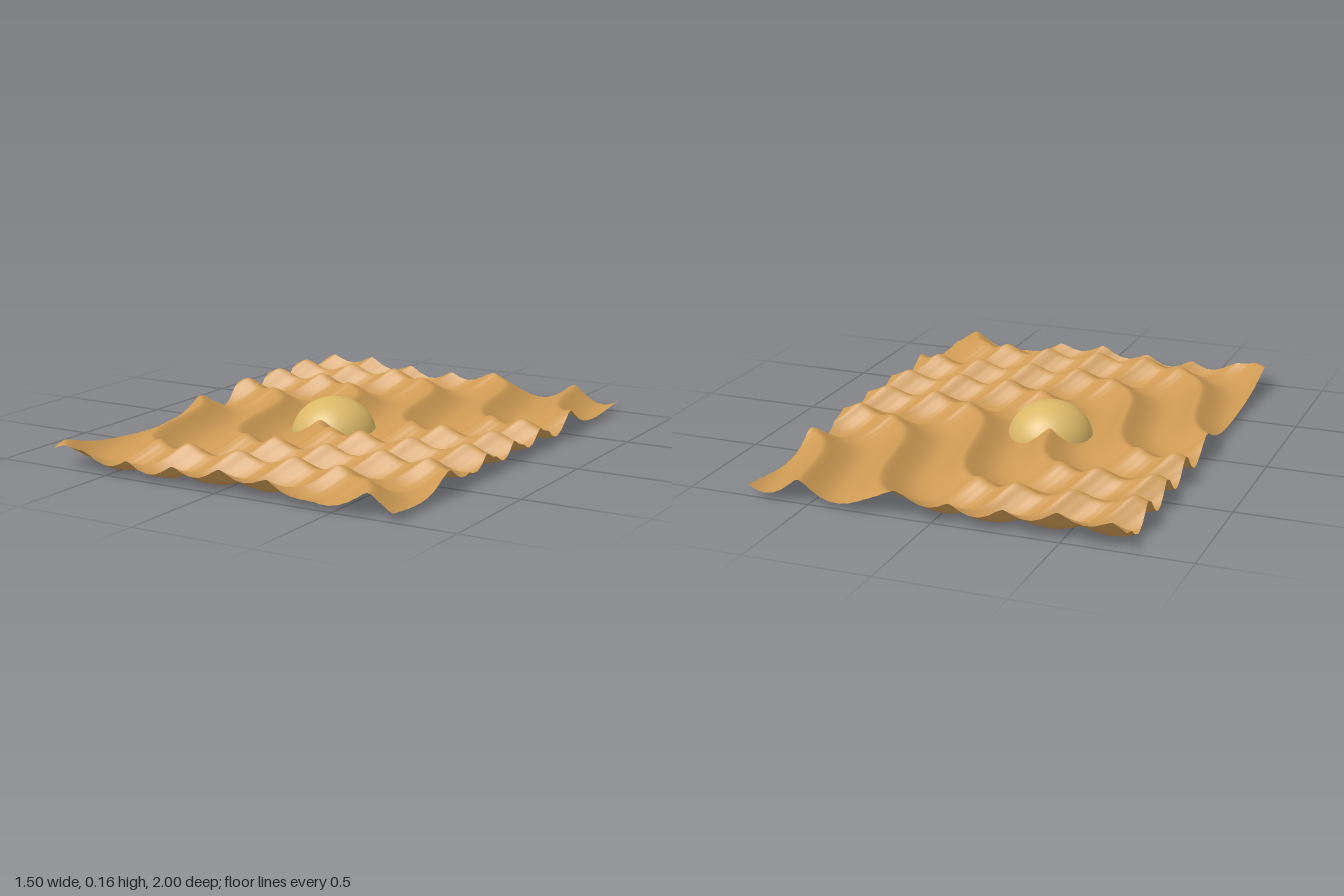
import * as THREE from 'three';

const WIDTH = 1.5, DEPTH = 2;

// Sharp-crested periodic ridge, about 1 at its crests and 0.1 in its troughs
function ridged(distance, spacing) {
  const s = Math.sin((Math.PI * distance) / spacing);
  return 1.14 - Math.sqrt(s * s + 0.02);
}

// Height of the sand: bent dunes, cross ridges where the dunes run straight, fine ripples
function sandHeight(x, z) {
  const u = x + 0.9 * z;
  const v = x + 0.92 * z + 0.24;
  const bend = -0.367 + 0.4 * v + 0.17 * Math.sin(3.06 * v);
  const straight = THREE.MathUtils.smoothstep(-Math.cos(3.06 * v), -0.45, 0.7);
  const ripple = 0.0006 * Math.sin((2 * Math.PI / 0.04) * u);
  const y = 0.012 + 0.082 * ridged(z - bend, 0.253)
    + straight * (0.042 * ridged(u - 0.71, 0.21) - 0.014) + ripple;
  return THREE.MathUtils.clamp(y, 0.014, 0.125);
}

export function createModel() {
  const model = new THREE.Group();
  model.name = 'duneField';

  const sand = new THREE.MeshStandardMaterial({ color: 0xcd9a54 });
  sand.name = 'sand';
  sand.side = THREE.DoubleSide;
  const paleSand = new THREE.MeshStandardMaterial({ color: 0xdab868 });
  paleSand.name = 'paleSand';
  paleSand.side = THREE.DoubleSide;

  // Thin sheet of rippled dunes
  const sheet = new THREE.PlaneGeometry(WIDTH, DEPTH, 200, 270);
  sheet.rotateX(-Math.PI / 2);
  const pos = sheet.attributes.position;
  for (let i = 0; i < pos.count; i++) {
    pos.setY(i, sandHeight(pos.getX(i), pos.getZ(i)));
  }
  sheet.computeVertexNormals();
  const dunes = new THREE.Mesh(sheet, sand);
  dunes.name = 'dunes';
  model.add(dunes);

  // Open dome half buried in the sand
  const domeShape = new THREE.SphereGeometry(0.176, 48, 20, 0, Math.PI * 2, 0, Math.PI / 2);
  domeShape.scale(1, 0.16 / 0.176, 1);
  const dome = new THREE.Mesh(domeShape, paleSand);
  dome.name = 'dome';
  dome.position.set(-0.093, 0, 0);
  model.add(dome);

  return model;
}
